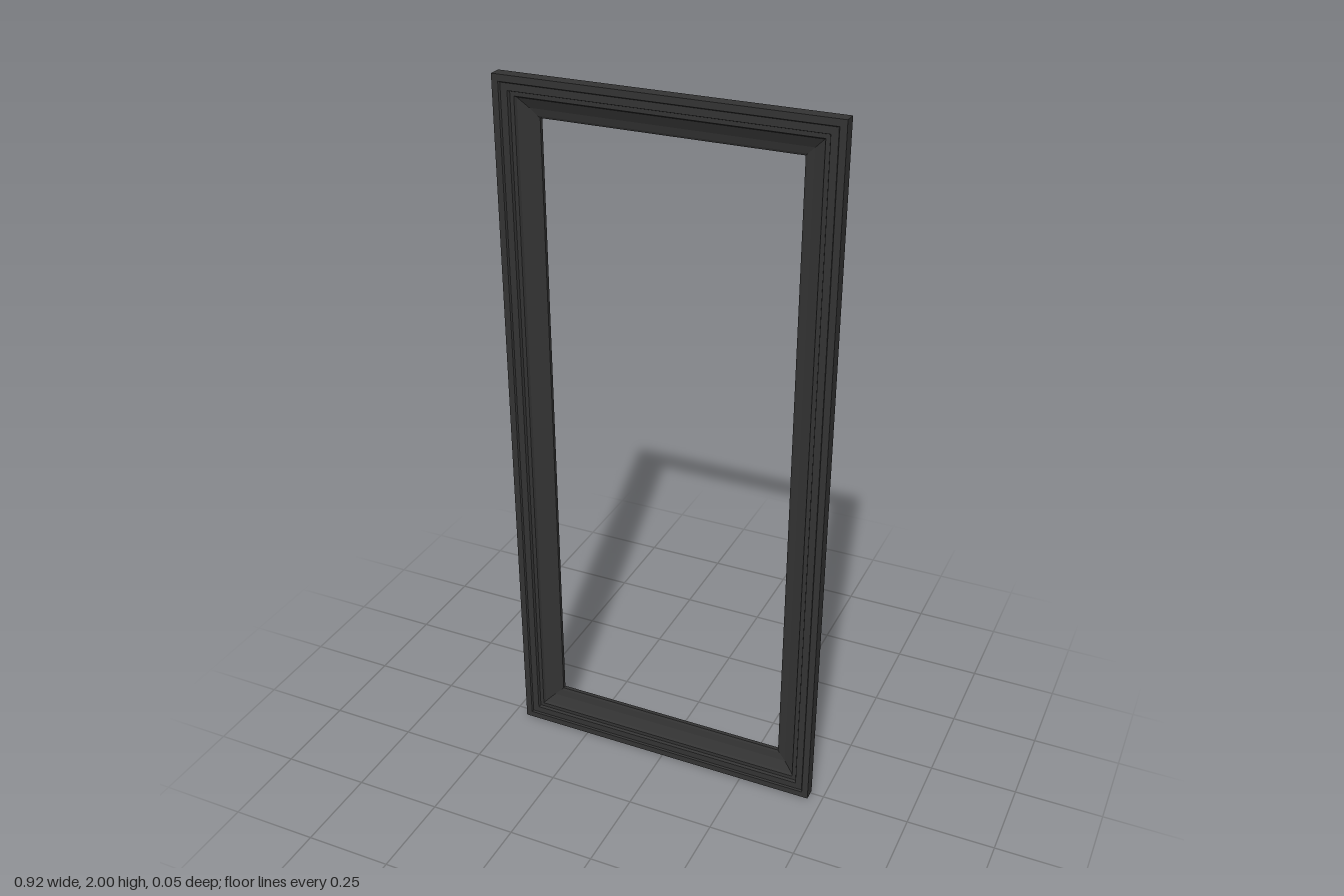
import * as THREE from 'three';

const HALF_WIDTH = 0.46;
const HEIGHT = 2;

// Moulding cross-section as [inset from the outer edge, z], front rim to inner lip and round the back
const PROFILE = [
  [0, 0.026], [0.018, 0.026], [0.021, 0.021], [0.04, 0.021],
  [0.043, 0.013], [0.054, 0.013], [0.058, 0.006], [0.085, -0.007],
  [0.104, -0.012], [0.11, -0.015],
  [0.11, -0.026], [0.085, -0.026], [0.076, -0.022], [0.046, -0.016],
  [0.043, -0.013], [0.02, -0.013], [0.017, -0.01], [0, -0.01],
];

// Corner of the rectangle lying at a given inset, counter-clockwise from bottom left
function corner(index, [inset, z]) {
  const x = HALF_WIDTH - inset;
  const right = index === 1 || index === 2;
  const top = index >= 2;
  return [right ? x : -x, top ? HEIGHT - inset : inset, z];
}

// One mitred rail: the profile swept between two neighbouring corners
function rail(name, start, material) {
  const end = (start + 1) % 4;
  const positions = [];
  PROFILE.forEach((p, i) => {
    const q = PROFILE[(i + 1) % PROFILE.length];
    const a = corner(start, p), b = corner(end, p);
    const c = corner(end, q), d = corner(start, q);
    positions.push(...a, ...b, ...c, ...a, ...c, ...d);
  });
  const geometry = new THREE.BufferGeometry();
  geometry.setAttribute('position', new THREE.Float32BufferAttribute(positions, 3));
  geometry.computeVertexNormals();
  const mesh = new THREE.Mesh(geometry, material);
  mesh.name = name;
  return mesh;
}

export function createModel() {
  const group = new THREE.Group();
  group.name = 'frame';
  const material = new THREE.MeshStandardMaterial({ color: 0x333333 });
  ['bottomRail', 'leftStile', 'topRail', 'rightStile'].forEach((name, i) => {
    group.add(rail(name, i, material));
  });
  return group;
}
